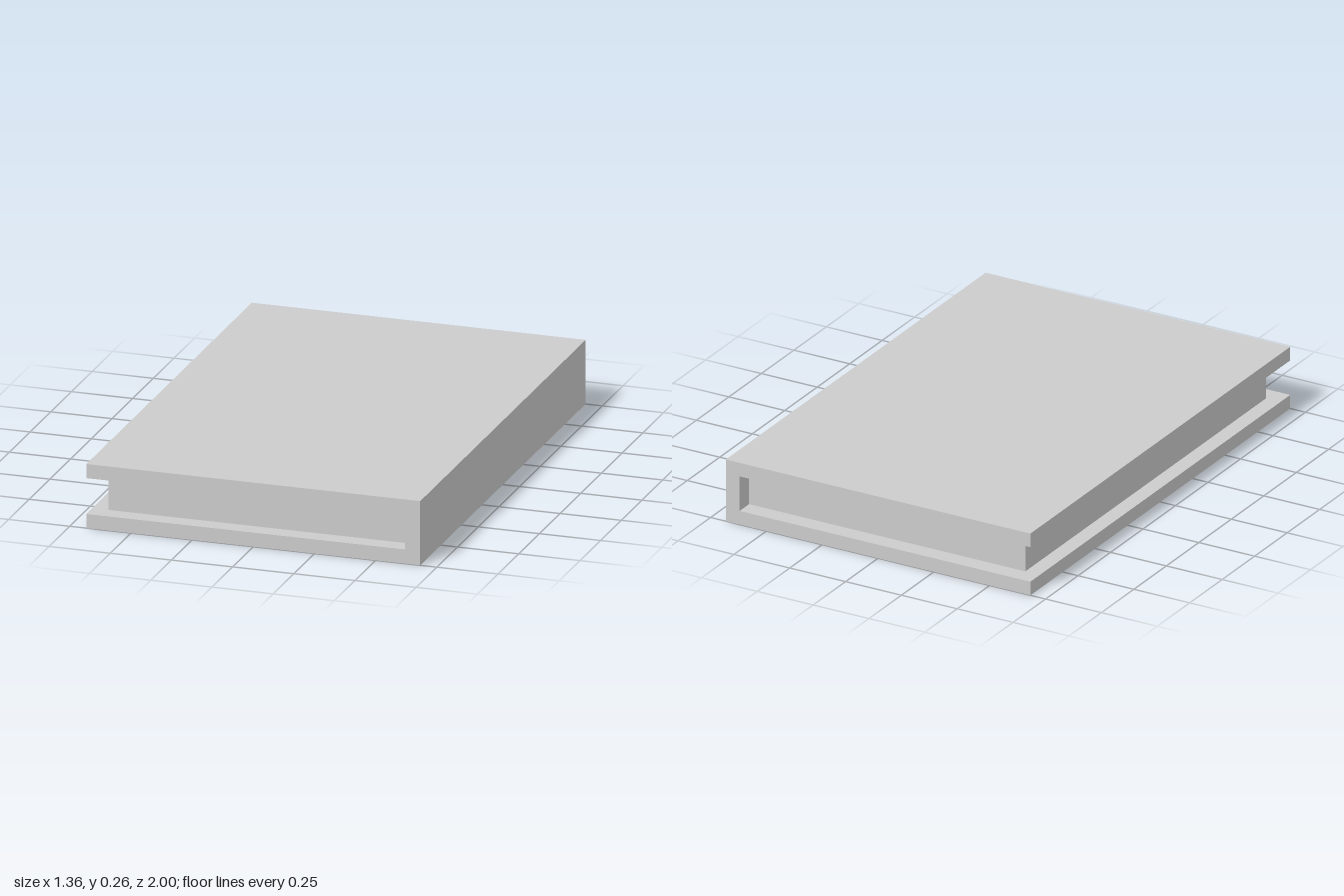
import * as THREE from 'three';

const WIDTH = 1.364, HEIGHT = 0.263, DEPTH = 2;
const BOARD = 0.058, SPINE = 0.062, INSET = 0.073;

export function createModel() {
  const group = new THREE.Group();
  const material = new THREE.MeshStandardMaterial({ color: 0xcccccc, flatShading: true });
  const add = (name, geometry) => {
    const mesh = new THREE.Mesh(geometry, material);
    mesh.name = name;
    group.add(mesh);
    return mesh;
  };

  // Cover: two boards joined by the spine, one C-shaped section along z
  const w = WIDTH / 2;
  const section = new THREE.Shape([
    [-w, 0], [w, 0], [w, HEIGHT], [-w, HEIGHT],
    [-w, HEIGHT - BOARD], [w - SPINE, HEIGHT - BOARD],
    [w - SPINE, BOARD], [-w, BOARD],
  ].map(([x, y]) => new THREE.Vector2(x, y)));
  const cover = new THREE.ExtrudeGeometry(section, { depth: DEPTH, bevelEnabled: false });
  cover.translate(0, 0, -DEPTH / 2);
  add('cover', cover);

  // Page block: set back from the three open edges, against the spine
  const left = -w + 0.065, right = w - SPINE;
  const pages = add('pages', new THREE.BoxGeometry(right - left, HEIGHT - 2 * BOARD, DEPTH - 2 * INSET));
  pages.position.set((left + right) / 2, HEIGHT / 2, 0);

  return group;
}
